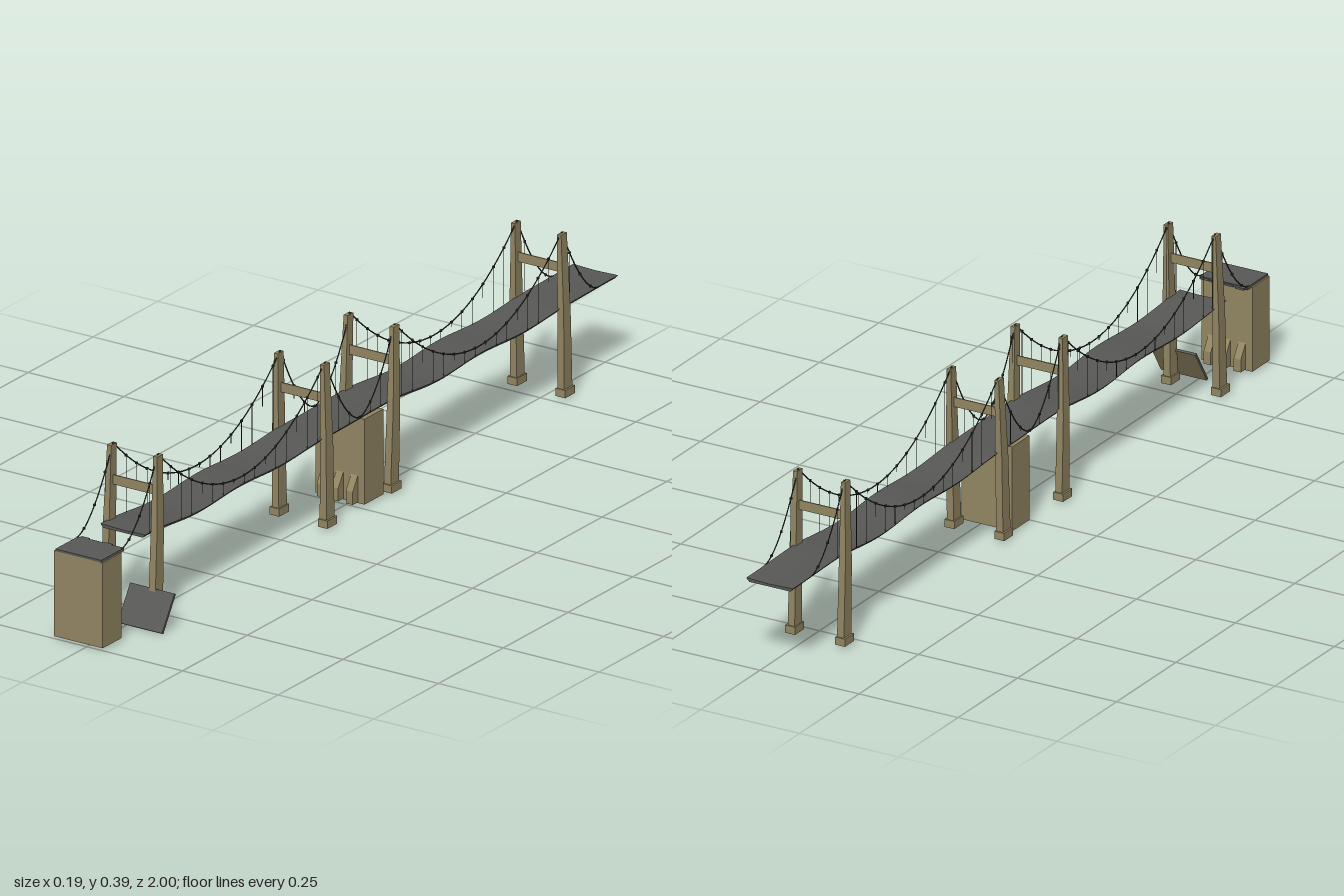
import * as THREE from 'three';

export function createModel() {
  const bridge = new THREE.Group();
  bridge.name = 'ruinedSuspensionBridge';
  const mat = (name, color) => {
    const m = new THREE.MeshStandardMaterial({ color });
    m.name = name;
    return m;
  };
  const stone = mat('tanStone', 0x938663);
  const road = mat('greyRoad', 0x585856);
  const steel = mat('darkCable', 0x363634);

  const CX = -0.0225; // centre line of the bridge
  const add = (name, geo, material, parent = bridge) => {
    const m = new THREE.Mesh(geo, material);
    m.name = name;
    parent.add(m);
    return m;
  };
  const box = (name, x0, x1, y0, y1, z0, z1, material, parent) => {
    const m = add(name, new THREE.BoxGeometry(x1 - x0, y1 - y0, z1 - z0), material, parent);
    m.position.set((x0 + x1) / 2, (y0 + y1) / 2, (z0 + z1) / 2);
    return m;
  };
  // Grey road surface and edges, stone underneath
  const roadMats = [road, road, road, stone, road, road];

  // Vertical warp of the old deck: two dips in each main span
  const sag = (z) => {
    const a = Math.abs(z);
    if (a < 0.13 || a > 0.8) return 0;
    const u = (a - 0.13) / 0.67;
    return -0.004 * Math.sin(Math.PI * u) - 0.008 * Math.sin(Math.PI * 2 * u) ** 2;
  };
  const deckTop = (z) => 0.211 + sag(z);

  // Deck: a box bent along its length, narrower underneath
  const deckGeo = new THREE.BoxGeometry(0.118, 0.008, 1.825, 4, 1, 90);
  deckGeo.translate(0, 0, -0.0875);
  const p = deckGeo.attributes.position;
  for (let i = 0; i < p.count; i++) {
    const z = p.getZ(i), x = p.getX(i), low = p.getY(i) < 0;
    const crown = low ? 0 : -0.002 * (1 - Math.abs(x) / 0.059);
    p.setX(i, CX + x * (low ? 0.88 : 1) + 0.002 * Math.sin(z * 14));
    p.setY(i, deckTop(z) - (low ? 0.008 : 0) + crown);
  }
  deckGeo.computeVertexNormals();
  add('deck', deckGeo, roadMats);

  // Towers: legs tapering in their upper half, feet and a thin cross beam
  const taperedLeg = (side, zBottom, zTop) => {
    const g = new THREE.BoxGeometry(1, 1, 1, 1, 4, 1);
    const a = g.attributes.position;
    for (let i = 0; i < a.count; i++) {
      const t = a.getY(i) + 0.5;
      const out = THREE.MathUtils.lerp(0.0708, 0.0655, Math.max(0, t * 2 - 1));
      const inn = THREE.MathUtils.lerp(0.0535, 0.0550, t);
      const w = THREE.MathUtils.lerp(0.032, 0.022, t);
      const x = (out + inn) / 2 + side * a.getX(i) * (out - inn);
      a.setXYZ(i, CX + side * x, 0.012 + t * 0.371,
        THREE.MathUtils.lerp(zBottom, zTop, t) + a.getZ(i) * w);
    }
    g.computeVertexNormals();
    return g;
  };
  const towers = [[0.794, 0.781], [0.131, 0.137], [-0.117, -0.132], [-0.787, -0.778]];
  for (const [zb, zt] of towers) {
    const tower = new THREE.Group();
    tower.name = 'tower';
    bridge.add(tower);
    for (const s of [-1, 1]) {
      add('towerLeg', taperedLeg(s, zb, zt), stone, tower);
      const foot = box('towerFoot', -0.0125, 0.0125, 0.005, 0.023, -0.019, 0.019, stone, tower);
      foot.position.x = CX + s * 0.063;
      foot.position.z = zb;
    }
    const zm = zb + (zt - zb) * 0.78;
    box('crossBeam', CX - 0.057, CX + 0.057, 0.291, 0.313, zm - 0.0015, zm + 0.0015, stone, tower);
  }

  // Piers: block with three sloped buttresses against one face
  const pier = (z0, z1, dir) => {
    const g = new THREE.Group();
    g.name = 'pier';
    bridge.add(g);
    box('pierBlock', CX - 0.064, CX + 0.064, 0.006, 0.205, z0, z1, stone, g);
    const fin = new THREE.Shape();
    fin.moveTo(-0.002, 0);
    fin.lineTo(0.02, 0);
    fin.lineTo(0.02, 0.03);
    fin.lineTo(0, 0.062);
    fin.lineTo(-0.002, 0.062);
    fin.closePath();
    for (const k of [-1, 0, 1]) {
      const geo = new THREE.ExtrudeGeometry(fin, { depth: 0.018, bevelEnabled: false });
      geo.translate(0, 0, -0.009);
      geo.rotateY(dir > 0 ? -Math.PI / 2 : Math.PI / 2);
      const m = add('buttress', geo, stone, g);
      m.position.set(CX + k * 0.038, 0.008, dir > 0 ? z1 : z0);
    }
  };
  pier(0.927, 1.0, -1);
  pier(-0.083, -0.01, 1);

  // Broken road stub on the front pier, with a ragged edge
  box('roadStub', CX - 0.06, CX + 0.06, 0.203, 0.210, 0.912, 1.0, roadMats);
  [0.008, 0.004, 0.007, 0.003].forEach((d, i) => {
    const x = CX - 0.056 + i * 0.03;
    box('raggedEdge', x, x + 0.022, 0.204, 0.209, 0.912 - d, 0.912, roadMats);
  });

  // Fallen road slab leaning by the front tower
  const slab = add('fallenSlab', new THREE.BoxGeometry(0.116, 0.006, 0.091), roadMats);
  slab.position.set(0.038, 0.0405, 0.825);
  slab.rotation.x = 1.01;

  // Main cables: height along z
  const cableY = (z) => {
    const a = Math.abs(z);
    if (a < 0.134) return 0.212 + 0.174 * (a / 0.134) ** 1.7;
    if (a < 0.78) return 0.225 + 0.161 * ((a - 0.457) / 0.323) ** 2;
    return 0.21 + 0.176 * Math.max(0, (0.92 - a) / 0.14) ** 1.7;
  };
  for (const s of [-1, 1]) {
    const x = CX + s * 0.0585;
    const cable = new THREE.Group();
    cable.name = 'cableSide';
    bridge.add(cable);
    const stops = [-0.92, -0.78, -0.134, 0.134, 0.78, 0.92];
    for (let j = 0; j < 5; j++) {
      const pts = [];
      for (let i = 0; i <= 16; i++) {
        const z = THREE.MathUtils.lerp(stops[j], stops[j + 1], i / 16);
        pts.push(new THREE.Vector3(x, cableY(z), z));
      }
      add('mainCable', new THREE.TubeGeometry(new THREE.CatmullRomCurve3(pts), 40, 0.0015, 6), steel, cable);
    }
    // Clamps and hangers, some hangers snapped short
    for (let i = -22; i <= 22; i++) {
      const z = i * 0.0405, y = cableY(z);
      const clamp = add('cableClamp', new THREE.BoxGeometry(0.004, 0.005, 0.005), steel, cable);
      clamp.position.set(x, y, z);
      const full = y - deckTop(z);
      if (full < 0.008 || Math.abs(z) > 0.82) continue;
      const len = (i * 7 + 50 + s) % 3 === 0 ? full * 0.4 : full;
      const h = add('hanger', new THREE.CylinderGeometry(0.0007, 0.0007, len, 5), steel, cable);
      h.position.set(x, y - len / 2, z);
    }
  }
  return bridge;
}
